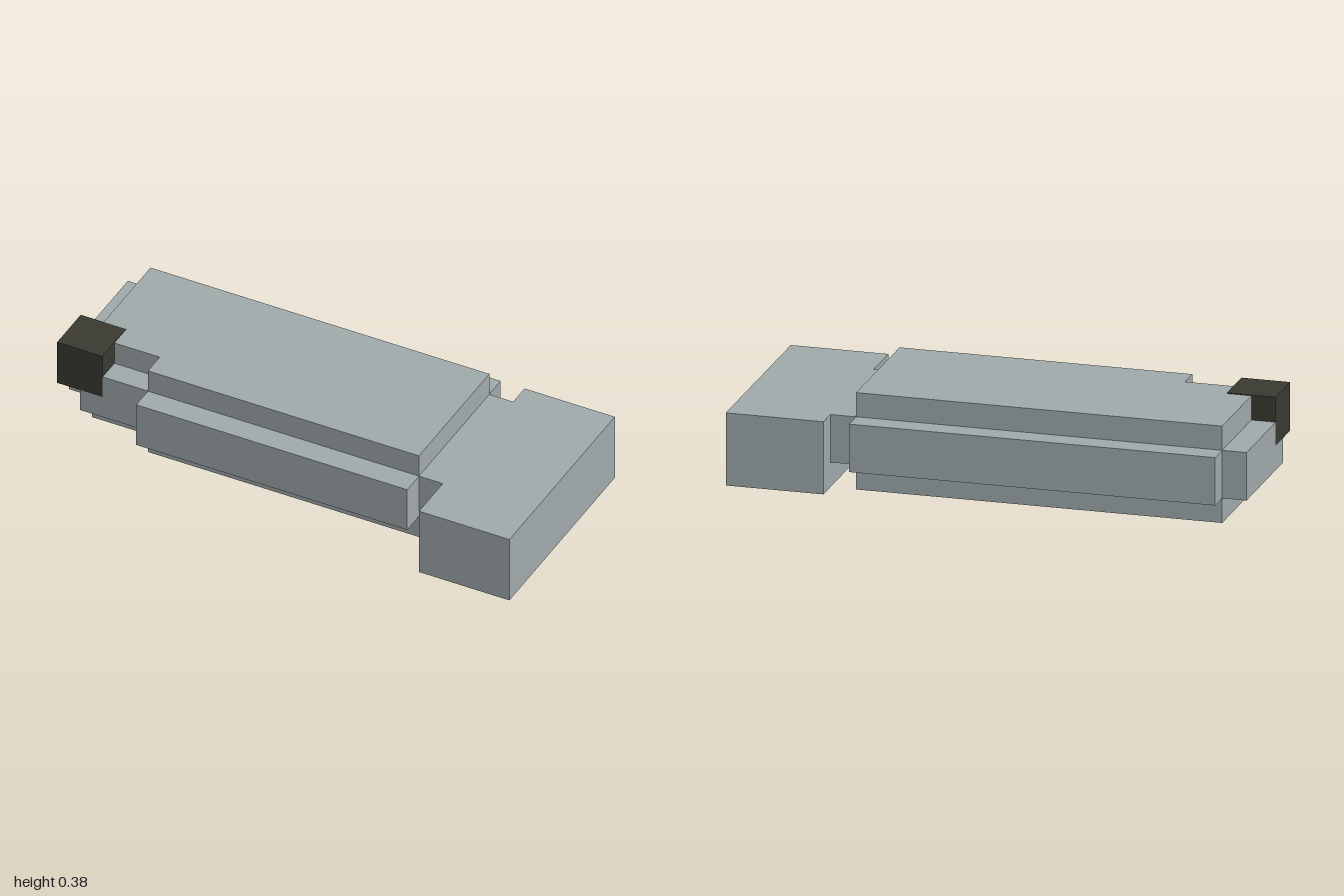
import * as THREE from 'three';

// Solid slab: an outline of [x, z] corners raised from y0 to y1
function slab(name, outline, y0, y1, material) {
  const shape = new THREE.Shape(outline.map(([x, z]) => new THREE.Vector2(x, -z)));
  const geometry = new THREE.ExtrudeGeometry(shape, { depth: y1 - y0, bevelEnabled: false });
  geometry.rotateX(-Math.PI / 2);
  geometry.translate(0, y0, 0);
  const mesh = new THREE.Mesh(geometry, material);
  mesh.name = name;
  return mesh;
}

const rect = (x0, x1, z0, z1) => [[x0, z0], [x1, z0], [x1, z1], [x0, z1]];

// Rectangle with its front right corner stepped in to (nx, nz)
const notched = (x0, x1, z0, z1, nx, nz) =>
  [[x0, z0], [x1, z0], [x1, z1], [nx, z1], [nx, nz], [x0, nz]];

export function createModel() {
  const grey = new THREE.MeshStandardMaterial({ color: 0xa1abad });
  grey.name = 'body grey';
  const dark = new THREE.MeshStandardMaterial({ color: 0x3a3a33 });
  dark.name = 'dark tip';

  const group = new THREE.Group();
  group.name = 'steppedBlock';
  group.add(
    // Body: three crossing slabs give stepped edges all round
    slab('tallBody', notched(-0.905, 0.52, -0.335, 0.235, -0.62, 0.14), 0, 0.38, grey),
    slab('sideRails', notched(-0.905, 0.52, -0.427, 0.33, -0.62, 0.14), 0.097, 0.285, grey),
    slab('longCore', notched(-1, 0.62, -0.335, 0.235, -0.905, 0.14), 0.097, 0.285, grey),
    // Wide block at the left end
    slab('endBlock', rect(0.62, 1, -0.427, 0.427), 0, 0.285, grey),
    // Dark cube on the front right corner, standing slightly proud
    slab('cornerCube', rect(-1, -0.81, 0.047, 0.238), 0.193, 0.383, dark),
  );
  return group;
}
